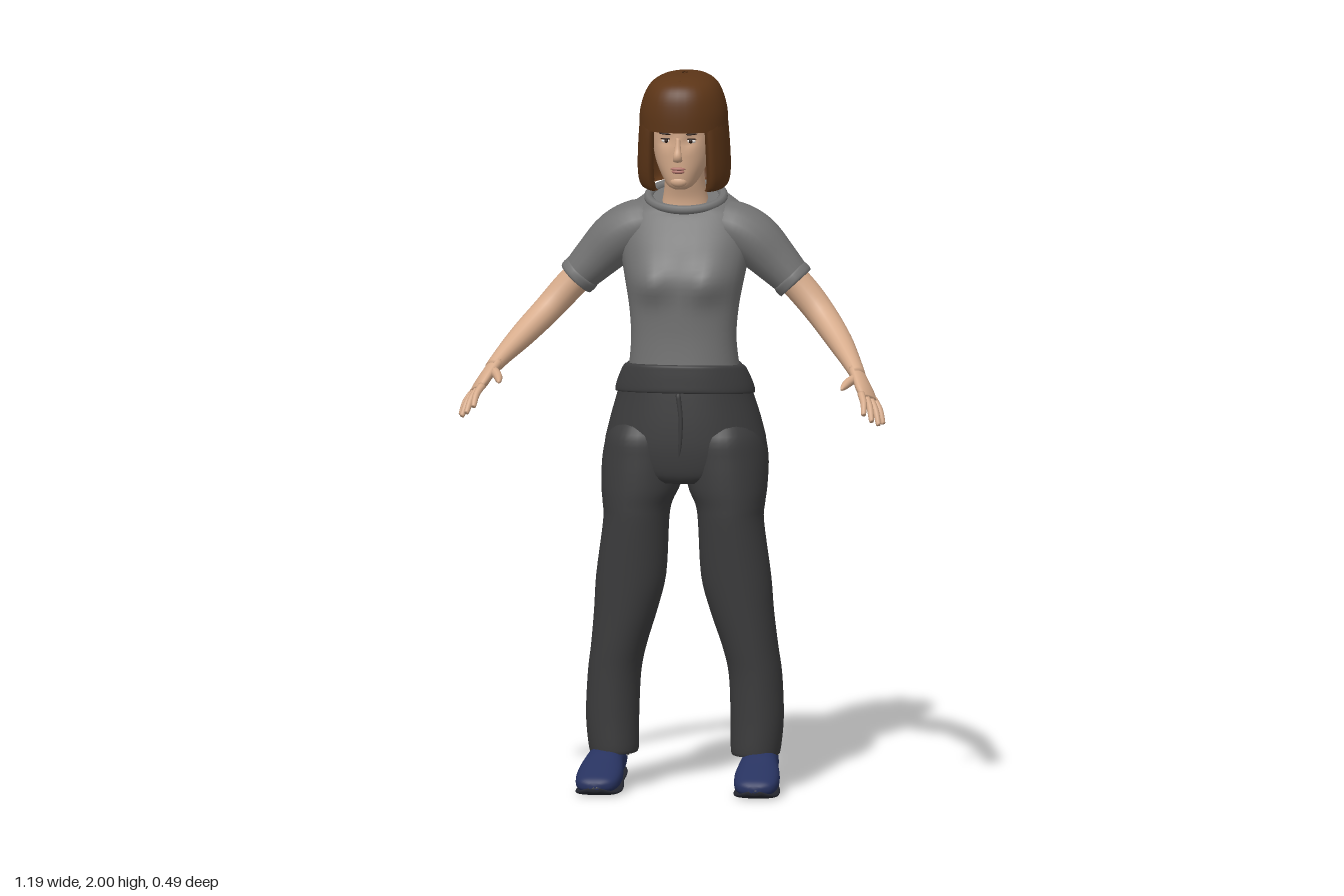
import * as THREE from 'three';

const mat = (name, color, double) => {
  const m = new THREE.MeshStandardMaterial({ color });
  m.name = name;
  if (double) m.side = THREE.DoubleSide;
  return m;
};

// Catmull-Rom interpolation of rows of numbers
function smooth(rows, k = 4) {
  const out = [], at = i => rows[Math.min(rows.length - 1, Math.max(0, i))];
  for (let i = 0; i < rows.length - 1; i++) for (let s = 0; s < k; s++) {
    const t = s / k, [a, b, c, d] = [at(i - 1), at(i), at(i + 1), at(i + 2)];
    out.push(b.map((_, n) => b[n] + 0.5 * t * (c[n] - a[n] + t * (2 * a[n] - 5 * b[n] + 4 * c[n] - d[n]
      + t * (3 * (b[n] - c[n]) + d[n] - a[n])))));
  }
  out.push(rows[rows.length - 1]);
  return out;
}

// Skin closed rings of equal size, optionally capping both ends
function loft(rings, capped = true) {
  const n = rings[0].length, m = rings.length, pos = rings.flat(), idx = [];
  for (let i = 0; i < m - 1; i++) for (let j = 0; j < n; j++) {
    const a = i * n + j, b = i * n + (j + 1) % n;
    idx.push(a, b, b + n, a, b + n, a + n);
  }
  if (capped) [0, m - 1].forEach(r => {
    const c = new THREE.Vector3();
    rings[r].forEach(p => c.addScaledVector(p, 1 / n));
    pos.push(c);
    for (let j = 0; j < n; j++) {
      const a = r * n + j, b = r * n + (j + 1) % n;
      idx.push(pos.length - 1, ...(r ? [a, b] : [b, a]));
    }
  });
  const g = new THREE.BufferGeometry();
  g.setAttribute('position', new THREE.Float32BufferAttribute(pos.flatMap(p => [p.x, p.y, p.z]), 3));
  g.setIndex(idx);
  g.computeVertexNormals();
  return g;
}

const pw = (v, p) => Math.sign(v) * Math.abs(v) ** (2 / p);

// Horizontal rings, bottom to top: [y, xMin, xMax, zFront, zBack, tilt]
function body(rows, p = 2.2, capped = true, tweak = null, n = 36) {
  return loft(smooth(rows).map(([y, x0, x1, zf, zb, tilt = 0]) => Array.from({ length: n }, (_, j) => {
    const a = j / n * Math.PI * 2, z = (zf + zb) / 2 + (zf - zb) / 2 * pw(Math.cos(a), p);
    const v = new THREE.Vector3((x0 + x1) / 2 + (x1 - x0) / 2 * pw(Math.sin(a), p), y - tilt * (z + 0.1), z);
    if (tweak) tweak(v, a);
    return v;
  })), capped);
}
const sym = rows => rows.map(([y, w, ...rest]) => [y, -w, w, ...rest]);
const side = (rows, s) => rows.map(([y, a, b, ...rest]) => [y, Math.min(a * s, b * s), Math.max(a * s, b * s), ...rest]);

// Rings across a path: [x, y, z, radius along ref, radius across it]
function limb(rows, s = 1, ref = [0, 0, 1], n = 18) {
  const pts = smooth(rows).map(r => [r[0] * s, ...r.slice(1)]);
  const at = i => new THREE.Vector3(...pts[Math.min(pts.length - 1, Math.max(0, i))].slice(0, 3));
  return loft(pts.map((r, i) => {
    const t = at(i + 1).sub(at(i - 1)).normalize();
    const u = new THREE.Vector3(ref[0] * s, ref[1], ref[2]);
    u.addScaledVector(t, -u.dot(t)).normalize();
    const v = t.clone().cross(u);
    return Array.from({ length: n }, (_, j) => {
      const a = j / n * Math.PI * 2;
      return at(i).addScaledVector(u, Math.cos(a) * r[3]).addScaledVector(v, Math.sin(a) * (r[4] ?? r[3]));
    });
  }));
}

export function createModel() {
  const root = new THREE.Group();
  root.name = 'standingWoman';
  const skin = mat('skin', 0xd6ab8b), hair = mat('brown hair', 0x5c3517, true), shirt = mat('grey shirt', 0x727272, true);
  const cloth = mat('charcoal trousers', 0x3c3c3d), shoe = mat('navy shoe', 0x27325f), sole = mat('dark sole', 0x24262f);
  const sock = mat('light sock', 0x9a9a9a), lip = mat('lips', 0xb0736a), white = mat('eye white', 0xe6e0da), dark = mat('dark brown', 0x2b1a12);
  const add = (name, geo, m) => {
    const mesh = new THREE.Mesh(geo, m);
    mesh.name = name;
    root.add(mesh);
    return mesh;
  };
  const blob = (name, m, x, y, z, sx, sy, sz) => {
    const b = add(name, new THREE.SphereGeometry(1, 16, 12), m);
    b.position.set(x, y, z);
    b.scale.set(sx, sy, sz);
    return b;
  };

  // Shirt body with a gently shaped bust
  add('shirtBody', body(sym([[1.165, .156, .051, -.188, -.05], [1.2, .151, .047, -.168, 0], [1.27, .146, .044, -.152, 0],
    [1.35, .152, .045, -.165, 0], [1.43, .166, .042, -.185, 0], [1.5, .18, .025, -.198, 0], [1.56, .187, 0, -.2, 0],
    [1.61, .17, -.018, -.192, .1], [1.642, .125, -.024, -.18, .3], [1.652, .1, -.03, -.168, .4]]), 2.3, true, v => {
    if (v.z > -.06) v.z += .03 * Math.exp(-(((Math.abs(v.x) - .075) / .055) ** 2) - ((v.y - 1.425) / .05) ** 2);
  }), shirt);
  const collarPath = new THREE.CatmullRomCurve3(Array.from({ length: 16 }, (_, i) => {
    const a = i / 8 * Math.PI, z = -.098 + .073 * Math.cos(a);
    return new THREE.Vector3(.104 * Math.sin(a), 1.652 - .4 * (z + .1), z);
  }), true);
  add('collar', new THREE.TubeGeometry(collarPath, 48, .013, 8, true), shirt);

  // Trousers: hips, waistband and fly
  add('hips', body(sym([[.865, .09, .035, -.14], [.89, .19, .052, -.2], [.95, .224, .06, -.24], [1.02, .213, .06, -.244],
    [1.1, .19, .055, -.222], [1.15, .176, .05, -.2], [1.19, .158, .045, -.178]])), cloth);
  add('waistband', body(sym([[1.105, .188, .052, -.216, -.1], [1.108, .194, .06, -.226, -.1], [1.13, .19, .06, -.22, -.1],
    [1.165, .176, .058, -.205, -.1], [1.182, .165, .055, -.195, -.1], [1.184, .15, .04, -.18, -.1]])), cloth);
  add('fly', limb([[0, 1.12, .06, .007], [.008, 1.05, .062, .006], [.006, .98, .06, .005], [0, .93, .054, .003]]), cloth);

  // Head and neck
  add('neck', body(sym([[1.6, .075, -.03, -.16], [1.65, .062, -.03, -.145], [1.7, .055, -.015, -.135], [1.76, .055, 0, -.13]])), skin);
  add('head', body(sym([[1.688, .018, .035, -.01], [1.698, .036, .05, -.04], [1.725, .055, .057, -.09], [1.77, .075, .06, -.13],
    [1.83, .085, .062, -.15], [1.9, .085, .06, -.155], [1.95, .068, .035, -.135], [1.975, .03, -.01, -.09]]), 2.15, true, (v, a) => {
    if (Math.cos(a) > .5) v.z -= .012 * Math.exp(-(((Math.abs(v.x) - .033) / .016) ** 2) - ((v.y - 1.828) / .014) ** 2);
  }), skin);
  add('nose', limb([[0, 1.835, .058, .007, .006], [0, 1.805, .064, .009, .009], [0, 1.785, .07, .011, .012], [0, 1.773, .064, .008, .013]]), skin);
  blob('upperLip', lip, 0, 1.749, .0585, .021, .005, .007);
  blob('lowerLip', lip, 0, 1.741, .0575, .018, .006, .007);
  blob('chin', skin, 0, 1.712, .045, .024, .016, .014);

  // Hair cap with fringe
  add('hairCap', body(sym([[1.852, .122, .079, -.187], [1.9, .12, .08, -.189], [1.945, .108, .074, -.188], [1.975, .09, .055, -.182],
    [1.992, .064, .02, -.165], [1.999, .035, -.02, -.135], [2, .008, -.06, -.1]]), 2.2, false), hair);
  add('parting', limb([[0, 1.986, .03, .004], [0, 1.996, -.03, .004], [0, 1.996, -.1, .004], [0, 1.985, -.165, .004]], 1, [1, 0, 0], 8), hair);
  // Hair drape: a thick shell left open round the face
  const drape = smooth([[1.686, .112, .025, -.165], [1.697, .122, .04, -.178], [1.73, .128, .055, -.186], [1.79, .127, .068, -.188],
    [1.87, .121, .076, -.188], [1.92, .112, .06, -.18]]);
  add('hairDrape', loft(drape.map(([y, w, zf, zb]) => Array.from({ length: 64 }, (_, j) => {
    const inner = j > 31, t = (inner ? 63 - j : j) / 31, a = .7 + t * (Math.PI * 2 - 1.4), q = inner ? .84 : 1;
    const z = (zf + zb) / 2 + (zf - zb) / 2 * q * pw(Math.cos(a), 2.3);
    return new THREE.Vector3(w * q * pw(Math.sin(a), 2.3), y - (1.87 - y) * .5 * (z + .08), z);
  })), false), hair);

  const spread = [.5, -.39, -.78];
  for (const s of [1, -1]) {
    const S = s > 0 ? 'left' : 'right';

    // Eyes and brows
    blob(S + 'Eye', white, s * .034, 1.826, .0455, .014, .006, .006);
    blob(S + 'Iris', dark, s * .034, 1.826, .0495, .0055, .0055, .004);
    blob(S + 'Lashes', dark, s * .035, 1.832, .0485, .016, .0022, .005);
    blob(S + 'Brow', dark, s * .036, 1.847, .055, .018, .003, .005).rotation.z = s * .08;

    // Sleeve with a hem band
    add(S + 'Sleeve', limb([[.08, 1.575, -.1, .065, .06], [.13, 1.568, -.1, .08, .072], [.19, 1.533, -.1, .078, .075],
      [.25, 1.475, -.1, .064, .064], [.305, 1.418, -.1, .056, .052]], s), shirt);
    add(S + 'SleeveHem', limb([[.288, 1.434, -.1, .057, .053], [.291, 1.431, -.1, .061, .057], [.305, 1.418, -.1, .061, .057],
      [.308, 1.415, -.1, .056, .052]], s), shirt);

    // Arm and hand
    add(S + 'Arm', limb([[.26, 1.465, -.1, .046, .043], [.33, 1.39, -.1, .046, .043], [.385, 1.328, -.077, .043, .04],
      [.44, 1.27, -.012, .038, .035], [.485, 1.222, .065, .029, .026], [.512, 1.19, .115, .024, .02]], s), skin);
    add(S + 'Palm', limb([[.5, 1.205, .095, .024, .019], [.522, 1.175, .128, .032, .017], [.538, 1.15, .152, .037, .016],
      [.551, 1.132, .169, .034, .011]], s, spread), skin);
    [[.545, 1.1, .242], [.566, 1.081, .233], [.582, 1.068, .208], [.59, 1.067, .175]].forEach((tip, i) => {
      const o = -.029 + i * .0193, base = [.544, 1.14, .162].map((v, n) => v + spread[n] * o);
      const mid = base.map((v, n) => (v + tip[n]) / 2 + [.004, .004, .002][n]);
      add(S + 'Finger' + (i + 1), limb([[...base, .0105], [...mid, .0095], [...tip.map((v, n) => v * .94 + mid[n] * .06), .007],
        [...tip, .003]], s, spread, 10), skin);
    });
    add(S + 'Thumb', limb([[.512, 1.188, .118, .014], [.492, 1.178, .155, .013], [.483, 1.17, .185, .01], [.479, 1.165, .208, .004]], s, [1, 0, 0], 10), skin);

    // Trouser leg
    add(S + 'Leg', body(side([[.1, .14, .258, -.005, -.145], [.108, .13, .266, .001, -.151], [.2, .129, .275, .005, -.157],
      [.32, .124, .27, .012, -.17], [.4, .107, .26, .02, -.165], [.5, .075, .25, .03, -.15], [.6, .05, .243, .04, -.146],
      [.75, .042, .223, .055, -.156], [.8, .034, .225, .058, -.17], [.85, .012, .23, .06, -.193], [.93, .002, .229, .058, -.236],
      [1, .015, .212, .05, -.238], [1.06, .05, .17, 0, -.19]], s)), cloth);
    const patch = add(S + 'CalfPatch', new THREE.CylinderGeometry(.026, .026, .006, 6), sock);
    patch.position.set(s * .247, .2, -.131);
    patch.quaternion.setFromUnitVectors(new THREE.Vector3(0, 1, 0), new THREE.Vector3(s * .62, 0, -.78).normalize());

    // Sock, shoe and sole
    add(S + 'Sock', new THREE.CylinderGeometry(.05, .046, .06, 20), sock).position.set(s * .205, .115, -.1);
    const last = [[-.157, .018, .05, .085], [-.143, .038, .037, .112], [-.09, .048, .03, .124], [-.02, .053, .022, .116],
      [.04, .063, .01, .088], [.09, .06, .006, .064], [.118, .046, .009, .05], [.132, .016, .018, .036]];
    const foot = (grow, lo, hi) => loft(smooth(last).map(([z, w, y0, y1]) => Array.from({ length: 28 }, (_, j) => {
      const a = j / 28 * Math.PI * 2, b = y0 + lo, t = hi === null ? y1 : y0 + hi;
      return new THREE.Vector3(s * (.217 + z * .05) + (w + grow) * pw(Math.cos(a), 2.5), (b + t) / 2 + (t - b) / 2 * pw(Math.sin(a), 2.5), z);
    })));
    add(S + 'Shoe', foot(0, 0, null), shoe);
    add(S + 'Sole', foot(.001, -.006, .009), sole);
  }
  return root;
}
